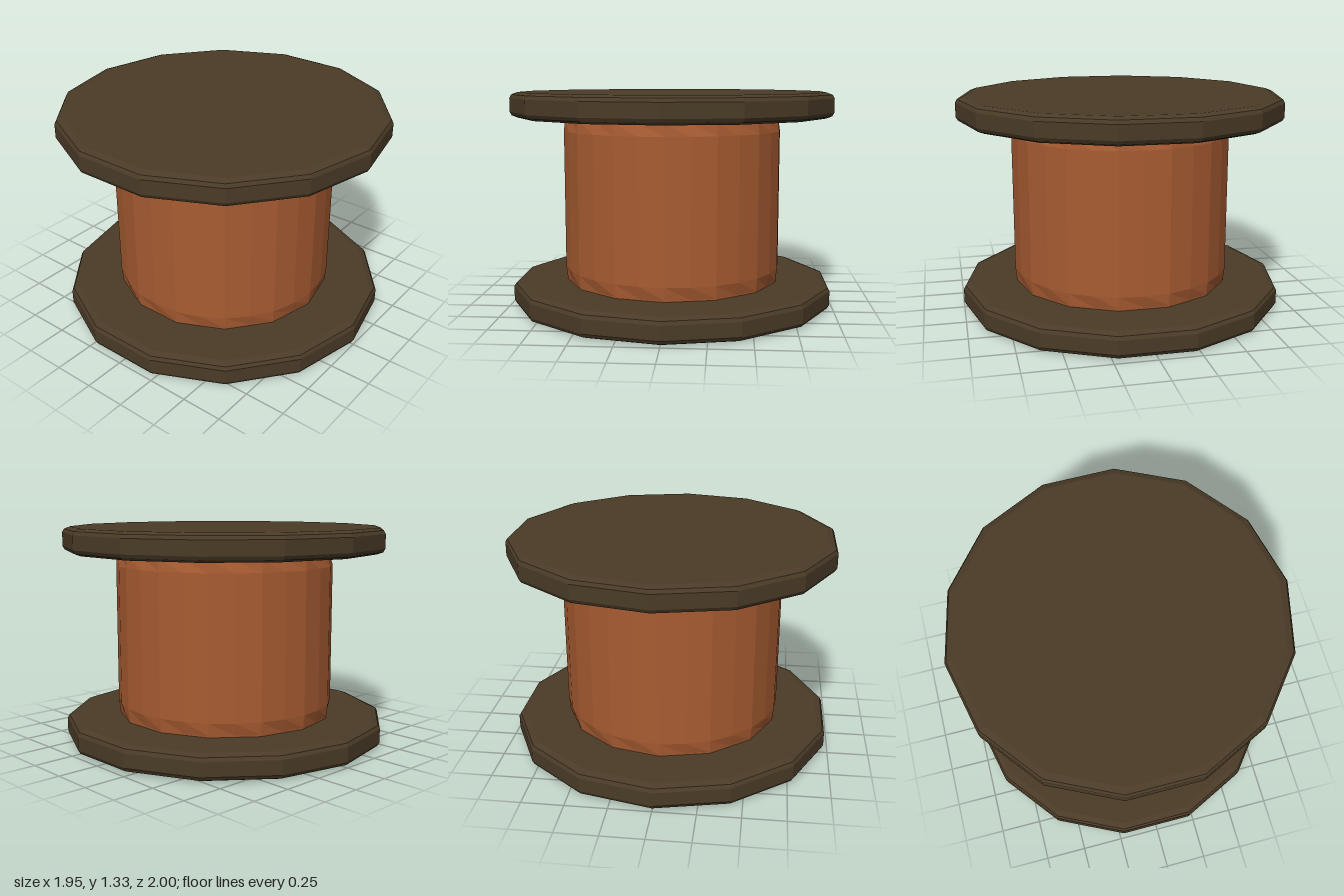
import * as THREE from 'three';

const SIDES = 14;

// Lathe from [radius, y] pairs, ordered bottom to top
function turned(profile, segments) {
  return new THREE.LatheGeometry(profile.map(([r, y]) => new THREE.Vector2(r, y)), segments);
}

export function createModel() {
  const darkWood = new THREE.MeshStandardMaterial({ color: 0x4a3b27, flatShading: true });
  darkWood.name = 'dark wood';
  const copper = new THREE.MeshStandardMaterial({ color: 0xa85c32, flatShading: true });
  copper.name = 'copper winding';

  const group = new THREE.Group();
  group.name = 'spool';

  // Two bevelled end discs
  const discGeometry = turned([
    [0, 0], [0.95, 0], [0.988, 0.014], [1, 0.035],
    [1, 0.12], [0.988, 0.141], [0.95, 0.155], [0, 0.155],
  ], SIDES);
  for (const [name, y] of [['bottomDisc', 0], ['topDisc', 1.17]]) {
    const disc = new THREE.Mesh(discGeometry, darkWood);
    disc.name = name;
    disc.position.y = y;
    group.add(disc);
  }

  // Drum: twice as many sides in the middle, flattening to the coarse polygon at its ends
  const profile = [[0.665, 0.15], [0.667, 0.165], [0.675, 0.24], [0.675, 1.09], [0.667, 1.16], [0.665, 1.175]];
  const drumGeometry = turned(profile, SIDES * 2);
  const position = drumGeometry.attributes.position;
  const flatten = Math.cos(Math.PI / SIDES);
  for (let i = 0; i < position.count; i++) {
    const row = i % profile.length;
    const segment = Math.floor(i / profile.length);
    if (segment % 2 === 0) continue;
    const s = row === 2 || row === 3 ? 0.993 : flatten;
    position.setX(i, position.getX(i) * s);
    position.setZ(i, position.getZ(i) * s);
  }
  drumGeometry.computeVertexNormals();
  const drum = new THREE.Mesh(drumGeometry, copper);
  drum.name = 'windingDrum';
  group.add(drum);

  return group;
}
